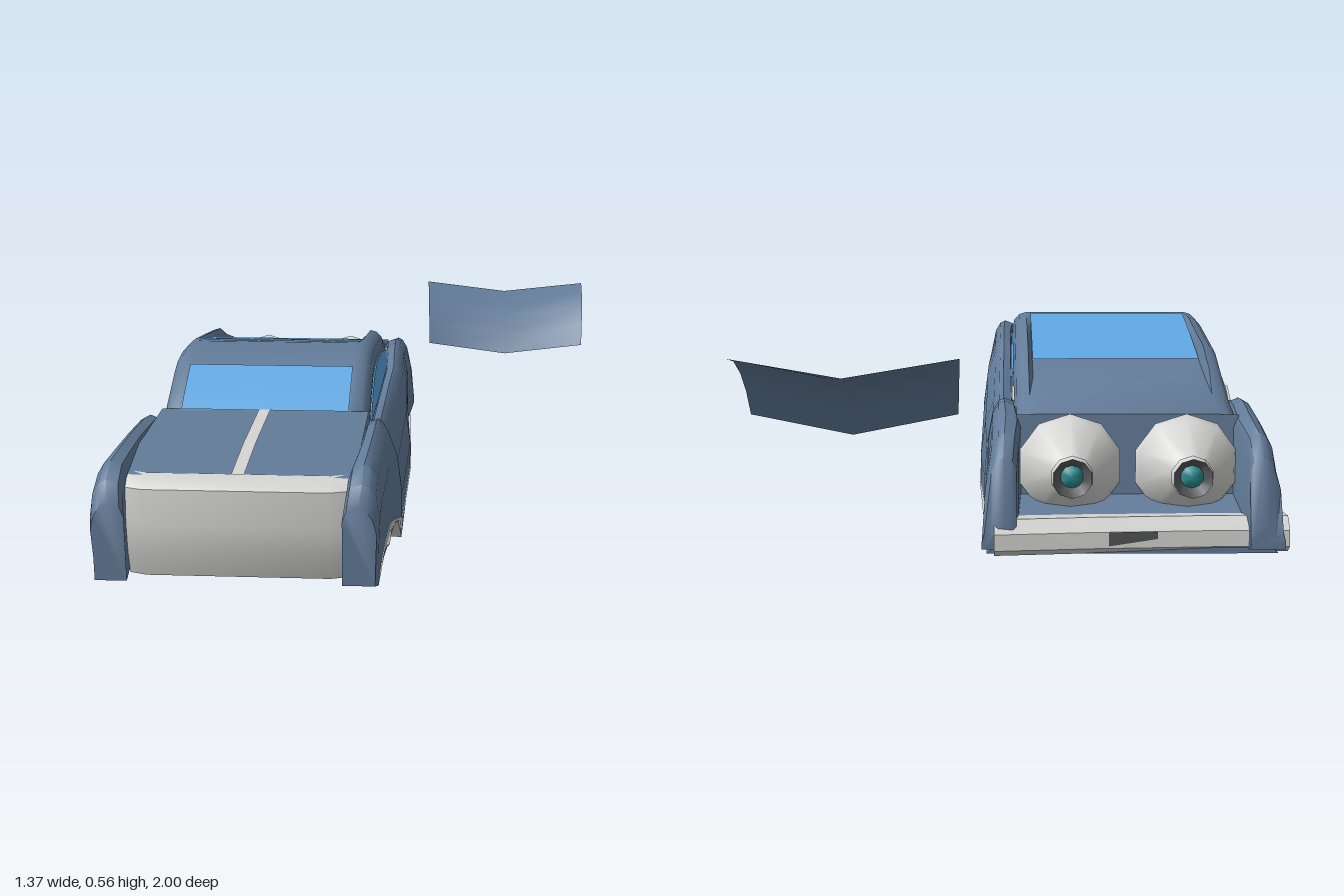
import * as THREE from 'three';
import { toCreasedNormals } from 'three/addons/utils/BufferGeometryUtils.js';

const paint = (name, color) => new THREE.MeshStandardMaterial({ name, color, side: THREE.DoubleSide });

// Skin a list of cross-sections; closed rings also get end caps
function loft(sections, closed = true, crease = 0.7) {
  const n = sections[0].length, idx = [];
  const last = sections.length - 1;
  for (let i = 0; i < last; i++) {
    for (let j = 0; j < (closed ? n : n - 1); j++) {
      const a = i * n + j, b = i * n + (j + 1) % n;
      idx.push(a, a + n, b, b, a + n, b + n);
    }
  }
  if (closed) {
    for (let j = 1; j < n - 1; j++) {
      idx.push(0, j, j + 1, last * n, last * n + j + 1, last * n + j);
    }
  }
  const g = new THREE.BufferGeometry();
  g.setAttribute('position', new THREE.Float32BufferAttribute(sections.flat(2), 3));
  g.setIndex(idx);
  return toCreasedNormals(g, crease);
}

// Linear lookup in a table sorted by falling z
function at(table, z, k) {
  let i = 0;
  while (i < table.length - 2 && z < table[i + 1][0]) i++;
  const [p, q] = [table[i], table[i + 1]];
  return THREE.MathUtils.lerp(p[k], q[k], (z - p[0]) / (q[0] - p[0]));
}

// Body sides: z, half width, lower edge, top edge
const SIDE = [
  [1, .345, .17, .37], [.97, .352, .16, .42], [.91, .355, .18, .45], [.8, .36, .2, .45],
  [.65, .365, .2, .448], [.5, .38, .155, .442], [.43, .385, .13, .43], [.38, .385, .12, .39],
  [-.2, .385, .08, .37], [-.46, .37, .072, .355], [-.54, .362, .07, .395], [-.62, .36, .07, .4],
  [-.75, .352, .07, .385], [-.88, .36, .075, .36], [-.93, .365, .08, .31], [-.97, .37, .09, .15],
];
// Skirt: z, lower edge, upper edge
const SKIRT = [
  [.95, .165, .18], [.9, .17, .2], [.8, .18, .215], [.65, .18, .21],
  [.5, .155, .168], [.4, .07, .13], [-.2, .07, .088], [-.85, .07, .078],
];
// Cabin and rear deck: z, rail height, centre height
const CABIN = [
  [.42, .42, .43], [.36, .47, .47], [.25, .53, .53], [.2, .55, .55], [.12, .56, .56],
  [.06, .558, .557], [0, .555, .547], [-.15, .535, .515], [-.33, .51, .47],
  [-.46, .46, .44], [-.6, .41, .415], [-.74, .38, .385],
];
const HOOD = [[.9, .412], [.7, .43], [.4, .44]];

// Flat-across strip that follows a height table
function strip(table, k, z0, z1, half, lift) {
  const zs = [z0, ...table.map((r) => r[0]).filter((z) => z < z0 && z > z1), z1];
  return loft(zs.map((z) => {
    const y = at(table, z, k) + lift;
    return [[half, y, z], [0, y, z], [-half, y, z]];
  }), false);
}

// Thruster turned around y, with its nozzle at the bottom
function thruster(name, m) {
  const g = new THREE.Group();
  g.name = name;
  const turn = (part, pts, mat) => {
    const geo = new THREE.LatheGeometry(pts.map(([r, y]) => new THREE.Vector2(r, y)), 10);
    const mesh = new THREE.Mesh(toCreasedNormals(geo, 0.7), mat);
    mesh.name = part;
    g.add(mesh);
  };
  turn('thrusterShell', [[.055, 0], [.06, .012], [.048, .024], [.14, .07], [.15, .082], [.12, .11], [0, .125]], m.silver);
  turn('nozzleRing', [[.032, .014], [.055, 0]], m.dark);
  turn('nozzleLens', [[0, .006], [.022, .009], [.032, .014]], m.teal);
  return g;
}

export function createModel() {
  const m = {
    body: paint('blueBody', 0x627b98), glass: paint('blueGlass', 0x5ea7e2),
    silver: paint('silverTrim', 0xd4d4d2), teal: paint('tealLens', 0x2c8c90),
    dark: paint('darkMetal', 0x55585a),
  };
  const model = new THREE.Group();
  model.name = 'hoverCarWithLid';
  const car = new THREE.Group();
  car.name = 'hoverCar';
  car.position.x = -.295;
  model.add(car);
  const add = (name, geo, mat, parent = car) => {
    const mesh = new THREE.Mesh(geo, mat);
    mesh.name = name;
    parent.add(mesh);
    return mesh;
  };
  const ring = (pts, s, z) => (s > 0 ? pts : [...pts].reverse()).map(([x, y]) => [s * x, y, z]);

  for (const s of [1, -1]) {
    const side = s > 0 ? 'left' : 'right';
    // Full-length fender and flank
    add(side + 'Flank', loft(SIDE.map(([z, w, yb, yt]) => {
      const wt = Math.min(w, .35), wi = Math.min(.285, w - .08), h = yt - yb;
      return ring([[w, yb], [w, yb + h * .3], [(w + wt) / 2 + .004, yb + h * .65],
        [wt - .004, yt - .035], [wt - .02, yt - .008], [(wt + wi) / 2, yt],
        [wi + .01, yt - .01], [wi, yt - .035], [wi, yb]], s, z);
    })), m.body);

    // Silver lower skirt
    add(side + 'Skirt', loft(SKIRT.map(([z, lo, hi]) => {
      const w = at(SIDE, z, 1);
      return ring([[w - .002, lo], [w + .003, hi], [w - .04, hi], [w - .04, lo]], s, z);
    })), m.silver);

    // Side window and the vent behind it
    const plate = (name, pts, mat) => {
      const shape = new THREE.Shape(pts.map(([z, y]) => new THREE.Vector2(-z, y)));
      const geo = new THREE.ExtrudeGeometry(shape, { depth: .006, bevelEnabled: false });
      geo.rotateY(Math.PI / 2);
      add(name, geo, mat).position.x = s * .291 - .003;
    };
    plate(side + 'Window', [[.34, .39], [.27, .45], [.2, .487], [.08, .5], [-.1, .485],
      [-.3, .45], [-.46, .412], [-.46, .352], [0, .37]], m.glass);
    plate(side + 'Vent', [[-.45, .35], [-.45, .412], [-.49, .42], [-.55, .39], [-.5, .352]], m.silver);

    // Lifting thrusters, front and rear
    for (const [end, y, z] of [['Front', .1, .7], ['Rear', 0, -.55]]) {
      const t = thruster(side + end + 'Thruster', m);
      t.position.set(s * .225, y, z);
      car.add(t);
    }
    // Driving thruster in the open rear bay
    const drive = thruster(side + 'DriveThruster', m);
    drive.scale.set(.9, 1.9, .9);
    drive.rotation.x = Math.PI / 2;
    drive.position.set(s * .148, .255, -.925);
    car.add(drive);
  }

  // Cabin with rounded rails, running down into the deck
  add('cabin', loft(CABIN.map(([z, y, c]) => {
    const half = [[.29, .3], [.29, y - .05], [.283, y - .022], [.268, y - .006], [.248, y], [.236, c]];
    return [...half, ...half.map(([x, h]) => [-x, h]).reverse()].map(([x, h]) => [x, h, z]);
  })), m.body);
  add('windshield', strip(CABIN, 2, .41, .255, .235, .006), m.glass);
  add('rearWindow', strip(CABIN, 2, .06, -.34, .235, .006), m.glass);

  // Hood and its centre strip
  add('hood', strip(HOOD, 1, .9, .4, .29, 0), m.body);
  add('hoodStrip', strip(HOOD, 1, .9, .41, .016, .005), m.silver);

  // Bulged nose plate
  const nose = [[.89, .414], [.925, .408], [.95, .39], [.962, .3], [.955, .22], [.935, .16], [.87, .16]];
  add('nosePlate', loft([.275, .23, -.23, -.275].map((x, i) =>
    nose.map(([z, y]) => [x, y, z - (i % 3 ? 0 : .015)]))), m.silver);

  // Floor pan, stepped up under the nose
  add('floorPan', loft([[.92, .165], [.5, .157], [.4, .072], [-.94, .072]].map(([z, y]) => {
    const w = at(SIDE, z, 1) - .008;
    return [[-w, y], [w, y], [w - .05, y + .05], [.05 - w, y + .05]].map(([x, h]) => [x, h, z]);
  })), m.body);

  // Rear bay wall and floor
  add('rearBay', loft([[.384, -.742], [.18, -.76], [.145, -.9]].map(([y, z]) =>
    [[.285, y, z], [-.285, y, z]]), false), m.body);

  // Slightly skewed rear bumper
  const bar = [[-.87, .075], [-.95, .072], [-.975, .09], [-.972, .13], [-.94, .16], [-.87, .152]];
  add('rearBumper', loft([[.34, -.012], [.1, .012], [-.2, .03], [-.385, .03]].map(([x, d]) =>
    bar.map(([z, y]) => [x, y, z + d]))), m.silver);
  const recess = add('bumperRecess', new THREE.BoxGeometry(.12, .035, .008), m.dark);
  recess.position.set(0, .112, -.952);
  recess.rotation.y = .07;

  // Detached rear lid, folded along its middle
  const edge = [[-.715, .38], [-.755, .445], [-.81, .5], [-.88, .54], [-.955, .556]];
  const fold = [[-.76, .335], [-.8, .4], [-.855, .46], [-.92, .495], [-1, .515]];
  add('detachedLid', loft(edge.map(([z, y], i) => [
    [.672 + i * .003, y, z], [.405, fold[i][1], fold[i][0]], [.138 - i * .003, y, z],
  ]), false), m.body, model);

  return model;
}
